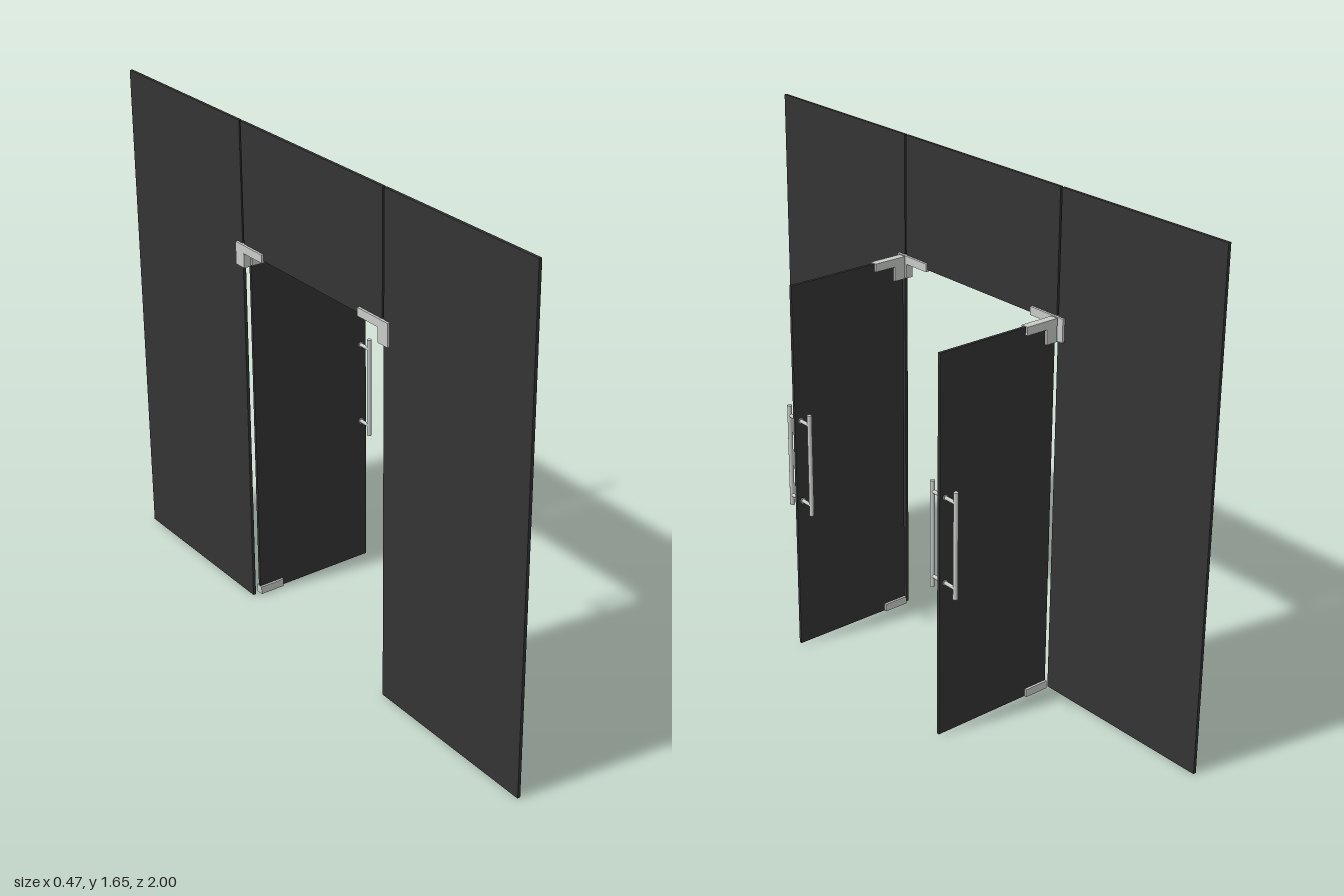
import * as THREE from 'three';

export function createModel() {
  const root = new THREE.Group();
  root.name = 'glassEntrance';
  const glass = new THREE.MeshStandardMaterial({ color: 0x343434 });
  glass.name = 'smokedGlass';
  const metal = new THREE.MeshStandardMaterial({ color: 0xc8cbc7 });
  metal.name = 'satinMetal';

  const WALL_X = -0.223, T = 0.01, CLAMP = 0.026, DOOR_Z = 0.357;

  function add(parent, name, geometry, material, x = 0, y = 0, z = 0) {
    const mesh = new THREE.Mesh(geometry, material);
    mesh.name = name;
    mesh.position.set(x, y, z);
    parent.add(mesh);
    return mesh;
  }

  // Box given by its limits on each axis
  function block(parent, name, material, [x0, x1], [y0, y1], [z0, z1]) {
    return add(parent, name, new THREE.BoxGeometry(x1 - x0, y1 - y0, z1 - z0), material,
      (x0 + x1) / 2, (y0 + y1) / 2, (z0 + z1) / 2);
  }

  // L-shaped clamp in the xy plane, centred on its thickness
  function clampGeometry(length, legWidth) {
    const s = new THREE.Shape([
      [0, 1.262], [0, 1.187], [legWidth, 1.187],
      [legWidth, 1.235], [length, 1.235], [length, 1.262],
    ].map(([x, y]) => new THREE.Vector2(x, y)));
    return new THREE.ExtrudeGeometry(s, { depth: CLAMP, bevelEnabled: false })
      .translate(0, 0, -CLAMP / 2);
  }

  const wallX = [WALL_X - T / 2, WALL_X + T / 2];
  block(root, 'transomPanel', glass, wallX, [1.24, 1.655], [-0.353, 0.353]);

  for (const side of [1, -1]) {
    const label = side > 0 ? 'front' : 'rear';
    const span = (a, b) => side > 0 ? [a, b] : [-b, -a];

    // Fixed side panel and the clamp joining it to the transom
    block(root, label + 'SidePanel', glass, wallX, [0, 1.655], span(0.36, 1));
    const wallClamp = add(root, label + 'WallClamp', clampGeometry(0.143, 0.045), metal,
      WALL_X, 0, side * 0.388);
    wallClamp.rotation.y = side * Math.PI / 2;

    // Open door leaf with its top and bottom patch fittings
    const door = new THREE.Group();
    door.name = label + 'Door';
    door.position.z = side * DOOR_Z;
    root.add(door);
    block(door, 'doorPanel', glass, [-0.204, 0.234], [0.004, 1.26], [-T / 2, T / 2]);
    add(door, 'topClamp', clampGeometry(0.117, 0.04), metal, -0.205);
    block(door, 'bottomClamp', metal, [-0.205, -0.117], [0.003, 0.03], [-CLAMP / 2, CLAMP / 2]);

    // Pull bars on both faces, joined by two spindles
    const handle = new THREE.Group();
    handle.name = 'pullHandle';
    handle.position.set(0.213, 0.664, 0);
    door.add(handle);
    for (const z of [-0.053, 0.053]) {
      add(handle, 'pullBar', new THREE.CylinderGeometry(0.0075, 0.0075, 0.35, 20), metal, 0, 0, z);
    }
    for (const y of [-0.14, 0.14]) {
      const spindle = add(handle, 'spindle',
        new THREE.CylinderGeometry(0.006, 0.006, 0.106, 16), metal, 0, y, 0);
      spindle.rotation.x = Math.PI / 2;
      const washer = add(handle, 'washer',
        new THREE.CylinderGeometry(0.009, 0.009, 0.016, 16), metal, 0, y, 0);
      washer.rotation.x = Math.PI / 2;
    }
  }
  return root;
}
